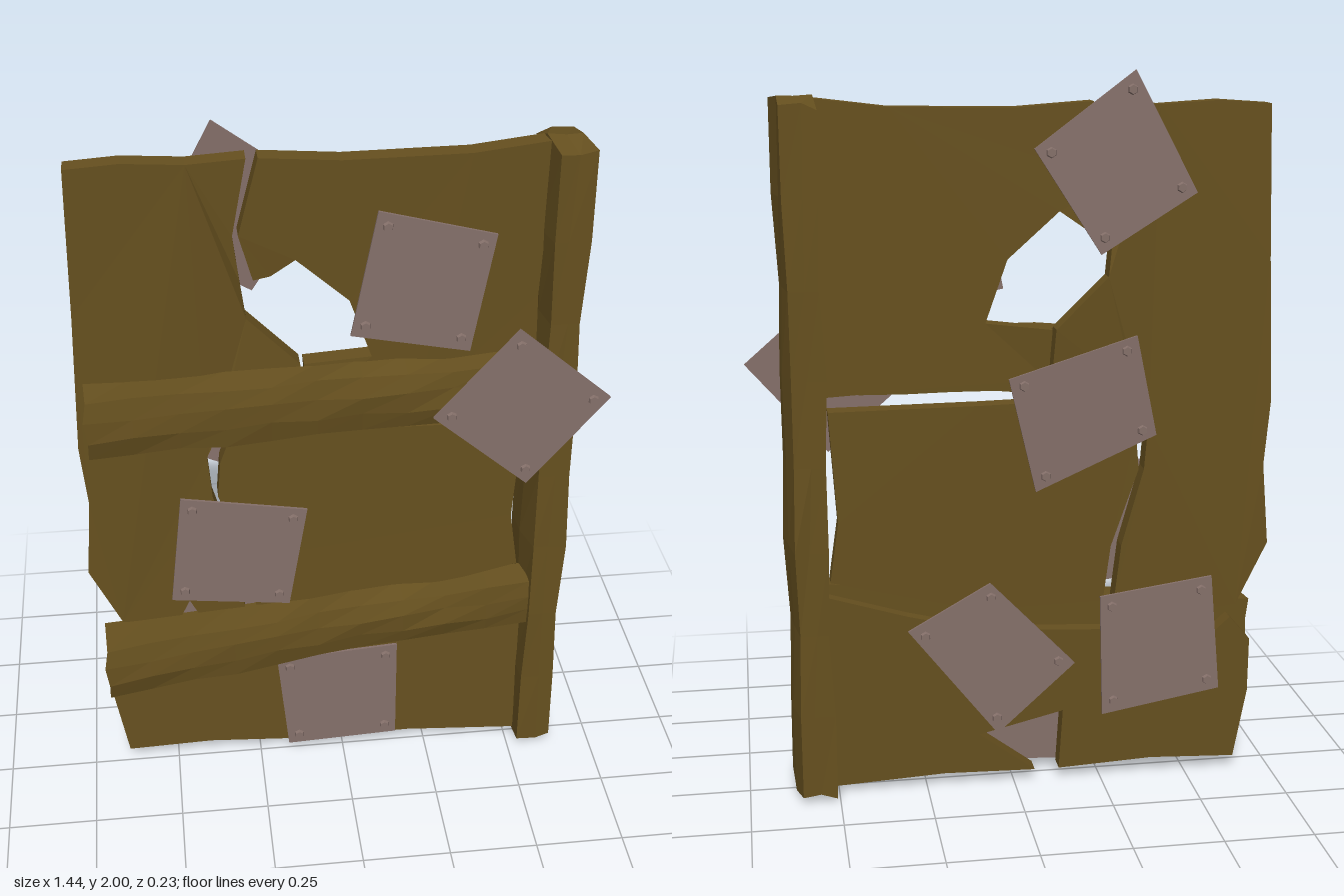
import * as THREE from 'three';

const wood = new THREE.MeshStandardMaterial({ color: 0x66501f, flatShading: true });
wood.name = 'oldWood';
const metal = new THREE.MeshStandardMaterial({ color: 0x85706a, flatShading: true });
metal.name = 'dullMetal';

// Repeatable offset from a position, so coincident corners stay joined
const jitter = (a, b, c) => {
  const s = Math.sin(a * 127.1 + b * 311.7 + c * 74.7) * 43758.5453;
  return (s - Math.floor(s)) * 2 - 1;
};

function warp(geo, rule) {
  const p = geo.attributes.position, v = new THREE.Vector3();
  for (let i = 0; i < p.count; i++) {
    v.fromBufferAttribute(p, i);
    rule(v);
    p.setXYZ(i, v.x, v.y, v.z);
  }
  geo.computeVertexNormals();
  return geo;
}

function add(group, name, geo, mat) {
  const m = new THREE.Mesh(geo, mat);
  m.name = name;
  group.add(m);
  return m;
}

const outline = pts => new THREE.Shape(pts.map(([x, y]) => new THREE.Vector2(x, y)));

// The boards bow backwards in the middle and buckle beside the hole
const bow = (x, y) => -0.016 * Math.sin(Math.PI * Math.min(1, Math.max(0, y / 1.95)))
  - 0.03 * Math.exp(-((x + 0.2) ** 2 + (y - 1.4) ** 2) / 0.02);

function plank(group, name, pts) {
  const geo = new THREE.ExtrudeGeometry(outline(pts), { depth: 0.055, bevelEnabled: false });
  add(group, name, warp(geo, v => { v.z += -0.053 + 0.012 * v.x + bow(v.x, v.y); }), wood);
}

// Cross beam: l and r give [bottom, top, front] at the two ends
function beam(group, name, l, r) {
  const geo = new THREE.BoxGeometry(1, 1, 1, 10, 3, 1);
  add(group, name, warp(geo, v => {
    const { x, y, z } = v, t = x + 0.5, front = z > 0;
    const bottom = THREE.MathUtils.lerp(l[0], r[0], t), top = THREE.MathUtils.lerp(l[1], r[1], t);
    const e = Math.max(0, 1 - t * 1.7);
    const edge = Math.abs(y) > 0.4;
    v.x = -0.685 + 1.22 * t + (t < 0.01 ? 0.008 * jitter(y, z, 3) : 0);
    v.y = THREE.MathUtils.lerp(bottom, top, (y * (front ? 0.9 : 1)) + 0.5) + 0.007 * jitter(x, y, z);
    v.z = front
      ? r[2] + (l[2] - r[2]) * e - (edge ? 0.012 : 0) + 0.005 * jitter(y, x, z)
      : -0.025;
  }), wood);
}

// Metal patch from four corners, with a rivet near each; side is +1 front, -1 back
function patch(group, name, c, z, side, tiltX = 0, tiltY = 0) {
  const g = new THREE.Group();
  g.name = name;
  const cx = c.reduce((s, p) => s + p[0], 0) / 4, cy = c.reduce((s, p) => s + p[1], 0) / 4;
  const zAt = (x, y) => z + tiltX * (x - cx) + tiltY * (y - cy);
  const geo = new THREE.ExtrudeGeometry(outline(c), { depth: 0.008, bevelEnabled: false });
  add(g, 'plate', warp(geo, v => { v.z += zAt(v.x, v.y) - 0.004; }), metal);
  for (const [px, py] of c) {
    const x = cx + (px - cx) * 0.8, y = cy + (py - cy) * 0.8;
    const rivet = add(g, 'rivet', new THREE.CylinderGeometry(0.012, 0.016, 0.012, 6), metal);
    rivet.rotation.x = side * Math.PI / 2;
    rivet.position.set(x, y, zAt(x, y) + side * 0.007);
  }
  group.add(g);
}

export function createModel() {
  const door = new THREE.Group();
  door.name = 'patchedDoor';

  // Broken boards
  plank(door, 'leftBoard', [
    [-0.69, 1.91], [-0.7, 1.5], [-0.715, 1.1], [-0.7, 0.92], [-0.72, 0.69], [-0.635, 0.51],
    [-0.48, 0.49], [-0.44, 0.57], [-0.4, 0.49], [-0.28, 0.52], [-0.3, 0.7], [-0.36, 0.92],
    [-0.37, 1.05], [-0.33, 1.14], [-0.1, 1.18], [-0.11, 1.32], [-0.25, 1.46], [-0.265, 1.58],
    [-0.28, 1.71], [-0.24, 1.92], [-0.39, 1.91], [-0.55, 1.92]]);
  plank(door, 'upperBoard', [
    [-0.21, 1.92], [-0.265, 1.71], [-0.23, 1.58], [-0.185, 1.59], [-0.12, 1.635], [0.02, 1.51],
    [0.08, 1.34], [-0.1, 1.32], [-0.09, 1.18], [0.2, 1.17], [0.53, 1.15], [0.52, 1.5],
    [0.535, 1.935], [0.33, 1.91], [0, 1.905]]);
  plank(door, 'middleBoard', [
    [-0.3, 1.125], [-0.335, 1.03], [-0.345, 0.92], [-0.27, 0.7], [-0.25, 0.54], [0.1, 0.53],
    [0.51, 0.63], [0.485, 0.8], [0.505, 1.11], [0.1, 1.115]]);
  plank(door, 'lowerBoard', [
    [-0.62, 0.47], [-0.68, 0.4], [-0.68, 0.24], [-0.645, 0.035], [-0.4, 0.045], [-0.13, 0.03],
    [-0.14, 0.21], [0.1, 0.15], [-0.06, 0.03], [0.2, 0.035], [0.54, 0.015], [0.53, 0.59],
    [0.3, 0.52], [0.1, 0.47], [-0.3, 0.45], [-0.37, 0.4], [-0.42, 0.31], [-0.5, 0.36]]);

  // Upright post, worn and slightly twisted
  const post = new THREE.BoxGeometry(1, 1, 1, 2, 8, 2);
  add(door, 'post', warp(post, v => {
    const { x, y, z } = v;
    v.x = 0.57 + x * 0.09 + z * 0.022 + 0.008 * jitter(x, y, z);
    v.y = 0.97 + y * 1.9 + (Math.abs(y) > 0.49 ? 0.014 * jitter(z, x, y) : 0)
      + (Math.abs(y) > 0.49 && z === 0 ? y * 0.02 : 0);
    v.z = -0.02 + z * 0.178 + 0.005 * jitter(y, z, x);
  }), wood);

  // Cross beams
  beam(door, 'upperBeam', [1.12, 1.305, 0.09], [1.155, 1.335, 0.068]);
  beam(door, 'lowerBeam', [0.325, 0.505, 0.115], [0.45, 0.61, 0.068]);

  // Front patches
  patch(door, 'upperFrontPatch', [[0.09, 1.77], [0.02, 1.42], [0.34, 1.355], [0.4, 1.69]], 0.014, 1);
  patch(door, 'beamPatch', [[0.46, 1.445], [0.235, 1.195], [0.5, 0.965], [0.72, 1.22]], 0.079, 1, -0.025);
  patch(door, 'middleFrontPatch', [[-0.45, 0.94], [-0.49, 0.6], [-0.155, 0.56], [-0.1, 0.88]], 0.012, 1);
  patch(door, 'lowerFrontPatch', [[-0.195, 0.355], [-0.165, 0.03], [0.16, 0.045], [0.16, 0.38]], 0.014, 1);

  // Back patches
  patch(door, 'upperBackPatch', [[-0.05, 1.8], [-0.32, 2.0], [-0.49, 1.68], [-0.23, 1.52]], -0.074, -1, 0, 0.04);
  patch(door, 'middleBackPatch', [[0.02, 1.19], [-0.33, 1.3], [-0.39, 1.02], [-0.056, 0.87]], -0.085, -1, 0, -0.03);
  patch(door, 'lowerBackPatch', [[0.3, 0.48], [0.07, 0.61], [-0.17, 0.36], [0.05, 0.16]], -0.073, -1);
  patch(door, 'cornerBackPatch', [[-0.24, 0.555], [-0.56, 0.6], [-0.59, 0.26], [-0.25, 0.2]], -0.078, -1);

  return door;
}
